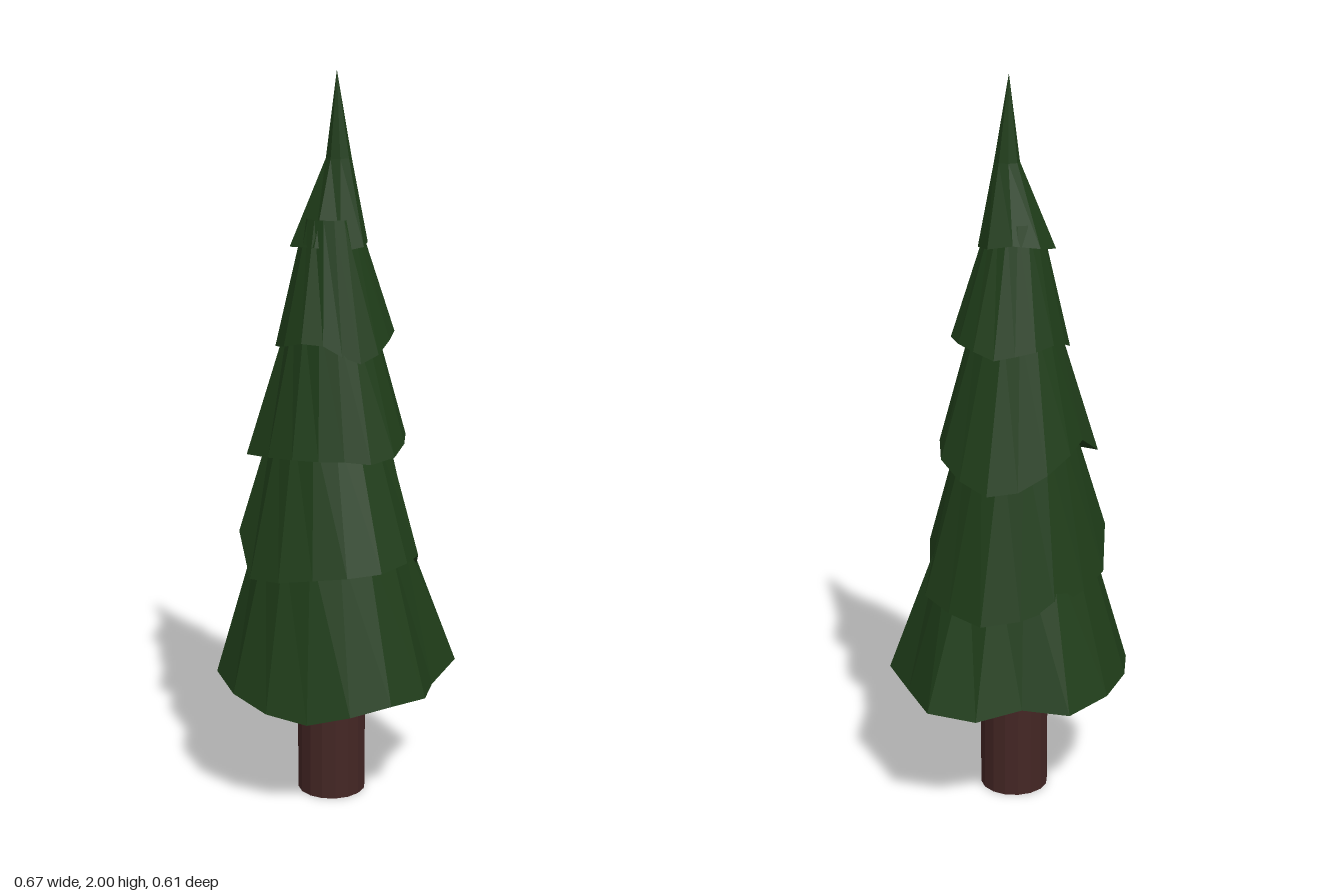
import * as THREE from 'three';

const leafMat = new THREE.MeshStandardMaterial({ color: 0x1f3d19, flatShading: true });
const barkMat = new THREE.MeshStandardMaterial({ color: 0x442624, flatShading: true });

// A ragged rim of [radius, height] pairs, starting at +x and turning towards +z
const rimRing = (rim) => rim.map(([r, y], i) => {
  const a = (i / rim.length) * Math.PI * 2;
  return new THREE.Vector3(r * Math.cos(a), y, r * Math.sin(a));
});

// A regular ring around (cx, cz)
const evenRing = (n, { r, y, cx = 0, cz = 0 }) => Array.from({ length: n }, (_, i) => {
  const a = (i / n) * Math.PI * 2;
  return new THREE.Vector3(cx + r * Math.cos(a), y, cz + r * Math.sin(a));
});

// Skirt of branches: underside fan, sloping wall, and an optional pointed tip
function tier(name, rim, top, under, tipY) {
  const n = rim.length;
  const low = rimRing(rim);
  const high = evenRing(n, top);
  const centre = new THREE.Vector3(0, under, 0);
  const pts = [];
  for (let i = 0; i < n; i++) {
    const j = (i + 1) % n;
    pts.push(low[i], low[j], centre);
    pts.push(low[i], high[i], high[j], low[i], high[j], low[j]);
    if (tipY) pts.push(high[i], new THREE.Vector3(0, tipY, 0), high[j]);
  }
  const geo = new THREE.BufferGeometry().setFromPoints(pts);
  geo.computeVertexNormals();
  const mesh = new THREE.Mesh(geo, leafMat);
  mesh.name = name;
  return mesh;
}

export function createModel() {
  const tree = new THREE.Group();
  tree.name = 'pineTree';

  // Trunk, slightly off centre
  const trunk = new THREE.Mesh(new THREE.CylinderGeometry(0.095, 0.095, 0.5, 16), barkMat);
  trunk.position.set(-0.014, 0.25, -0.011);
  trunk.name = 'trunk';
  tree.add(trunk);

  // Branch tiers from the ground up
  tree.add(tier('bottomBranches', [
    [0.335, 0.37], [0.273, 0.34], [0.304, 0.345], [0.298, 0.35],
    [0.303, 0.335], [0.292, 0.305], [0.306, 0.32], [0.322, 0.345],
    [0.335, 0.365], [0.333, 0.37], [0.339, 0.36], [0.333, 0.34],
    [0.3, 0.36], [0.323, 0.33], [0.352, 0.34], [0.315, 0.35],
  ], { r: 0.2, y: 0.77, cx: -0.015, cz: -0.01 }, 0.38));

  tree.add(tier('lowerBranches', [
    [0.22, 0.65], [0.23, 0.71], [0.24, 0.715], [0.243, 0.705],
    [0.238, 0.7], [0.233, 0.69], [0.25, 0.675], [0.268, 0.665],
    [0.268, 0.77], [0.268, 0.67], [0.258, 0.65], [0.253, 0.62],
    [0.262, 0.6], [0.275, 0.585], [0.26, 0.6], [0.26, 0.62],
  ], { r: 0.15, y: 1.08, cx: -0.02, cz: -0.015 }, 0.72));

  tree.add(tier('middleBranches', [
    [0.188, 1.03], [0.188, 1.02], [0.195, 1.0], [0.185, 0.99],
    [0.173, 1.0], [0.175, 1.0], [0.19, 1.0], [0.21, 0.995],
    [0.245, 0.985], [0.205, 1.04], [0.208, 1.02], [0.208, 0.98],
    [0.205, 0.94], [0.215, 0.93], [0.21, 0.96], [0.207, 1.0],
  ], { r: 0.112, y: 1.36, cx: -0.015, cz: -0.005 }, 1.04));

  tree.add(tier('upperBranches', [
    [0.155, 1.315], [0.145, 1.3], [0.14, 1.27], [0.13, 1.25],
    [0.123, 1.27], [0.13, 1.3], [0.15, 1.305], [0.16, 1.29],
    [0.165, 1.28], [0.155, 1.3], [0.15, 1.31], [0.145, 1.3],
    [0.138, 1.29], [0.145, 1.28], [0.15, 1.3], [0.152, 1.31],
  ], { r: 0.07, y: 1.62, cx: -0.015 }, 1.33));

  // Tip with a waist below the point
  tree.add(tier('treeTop', [
    [0.082, 1.555], [0.09, 1.55], [0.08, 1.54], [0.095, 1.55],
    [0.125, 1.545], [0.105, 1.56], [0.083, 1.57], [0.09, 1.56],
  ], { r: 0.034, y: 1.775, cx: 0.005 }, 1.58, 2));

  return tree;
}
